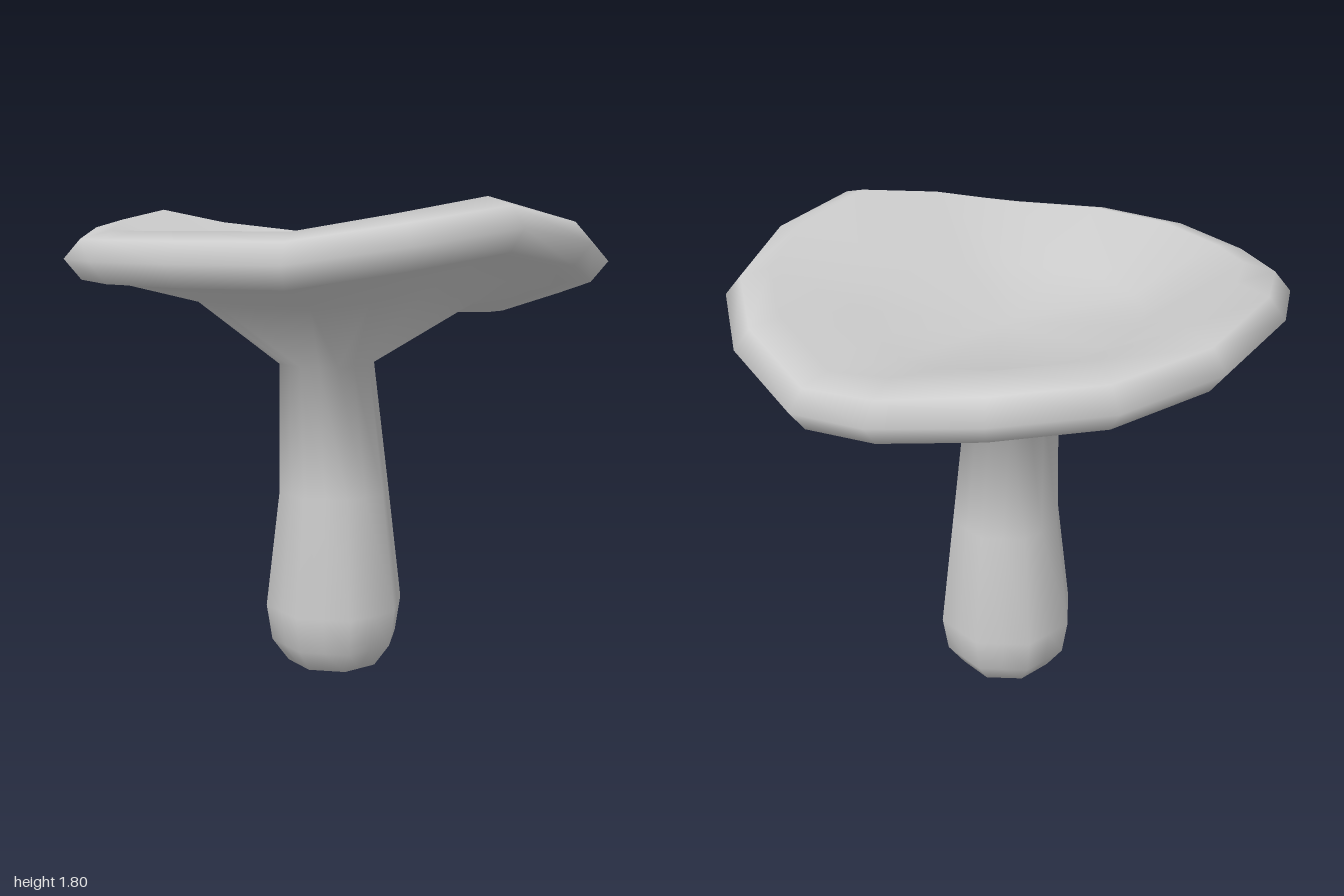
import * as THREE from 'three';

const SIDES = 16;
const CENTRE_Z = -0.045;

// Height of the wavy rim around the cap, starting at +x and turning towards +z
const RIM = [1.70, 1.645, 1.59, 1.59, 1.59, 1.59, 1.63, 1.67,
  1.62, 1.585, 1.57, 1.50, 1.43, 1.52, 1.58, 1.65];
const MEAN = 1.59;

// Cap rings: radius, base height, and how far the ring follows the rim's wave
const CAP = [
  [0, 1.485, 0], [0.5, 1.535, 0.35],
  [0.83, 1.69, 1], [0.94, 1.66, 1], [1, 1.59, 1], [0.94, 1.515, 1],
  [0.85, 1.512, 1], [0.52, 1.43, 0.4],
];
// Stem rings: half width, height, centre z
const STEM = [
  [0.17, 1.195, -0.005], [0.2, 0.7, -0.04], [0.25, 0.25, -0.04],
  [0.23, 0.11, -0.04], [0.17, 0.02, -0.04], [0, 0, -0.04],
];

function capPoint([r, y, wave], j) {
  const t = (j / SIDES) * Math.PI * 2;
  const pull = j === 12 ? 0.915 : (j === 11 || j === 13) ? 0.957 : 1; // flattened back edge
  return [r * pull * Math.cos(t), y + wave * (RIM[j] - MEAN), CENTRE_Z + r * pull * Math.sin(t)];
}

function stemPoint([r, y, z], j) {
  const t = (j / SIDES) * Math.PI * 2;
  const k = j % 2 ? r / Math.cos(Math.PI / 8) : r; // octagon with flats facing front and sides
  return [k * Math.cos(t), y, z + k * Math.sin(t)];
}

export function createModel() {
  const last = CAP.length + STEM.length - 1;
  const positions = [];
  for (let i = 0; i <= last; i++) {
    const count = i === 0 || i === last ? 1 : SIDES;
    for (let j = 0; j < count; j++) {
      positions.push(...(i < CAP.length ? capPoint(CAP[i], j) : stemPoint(STEM[i - CAP.length], j)));
    }
  }
  const id = (i, j) => (i === 0 ? 0 : 1 + (i - 1) * SIDES + (i === last ? 0 : j % SIDES));

  // Faces joining ring "from" down to ring "to"
  function faces(from, to) {
    const index = [];
    for (let i = from; i < to; i++) {
      for (let j = 0; j < SIDES; j++) {
        const a = id(i, j), b = id(i, j + 1), c = id(i + 1, j), d = id(i + 1, j + 1);
        if (a !== b) index.push(a, b, c);
        if (c !== d) index.push(b, d, c);
      }
    }
    return index;
  }

  // Normals are computed over the whole skin so cap and stem blend smoothly
  const skin = new THREE.BufferGeometry();
  skin.setAttribute('position', new THREE.Float32BufferAttribute(positions, 3));
  skin.setIndex(faces(0, last));
  skin.computeVertexNormals();

  const material = new THREE.MeshStandardMaterial({ color: 0xcccccc });
  const group = new THREE.Group();
  group.name = 'mushroom';
  for (const [name, from, to] of [['cap', 0, CAP.length], ['stem', CAP.length, last]]) {
    const part = skin.clone();
    part.setIndex(faces(from, to));
    const mesh = new THREE.Mesh(part, material);
    mesh.name = name;
    group.add(mesh);
  }
  return group;
}
